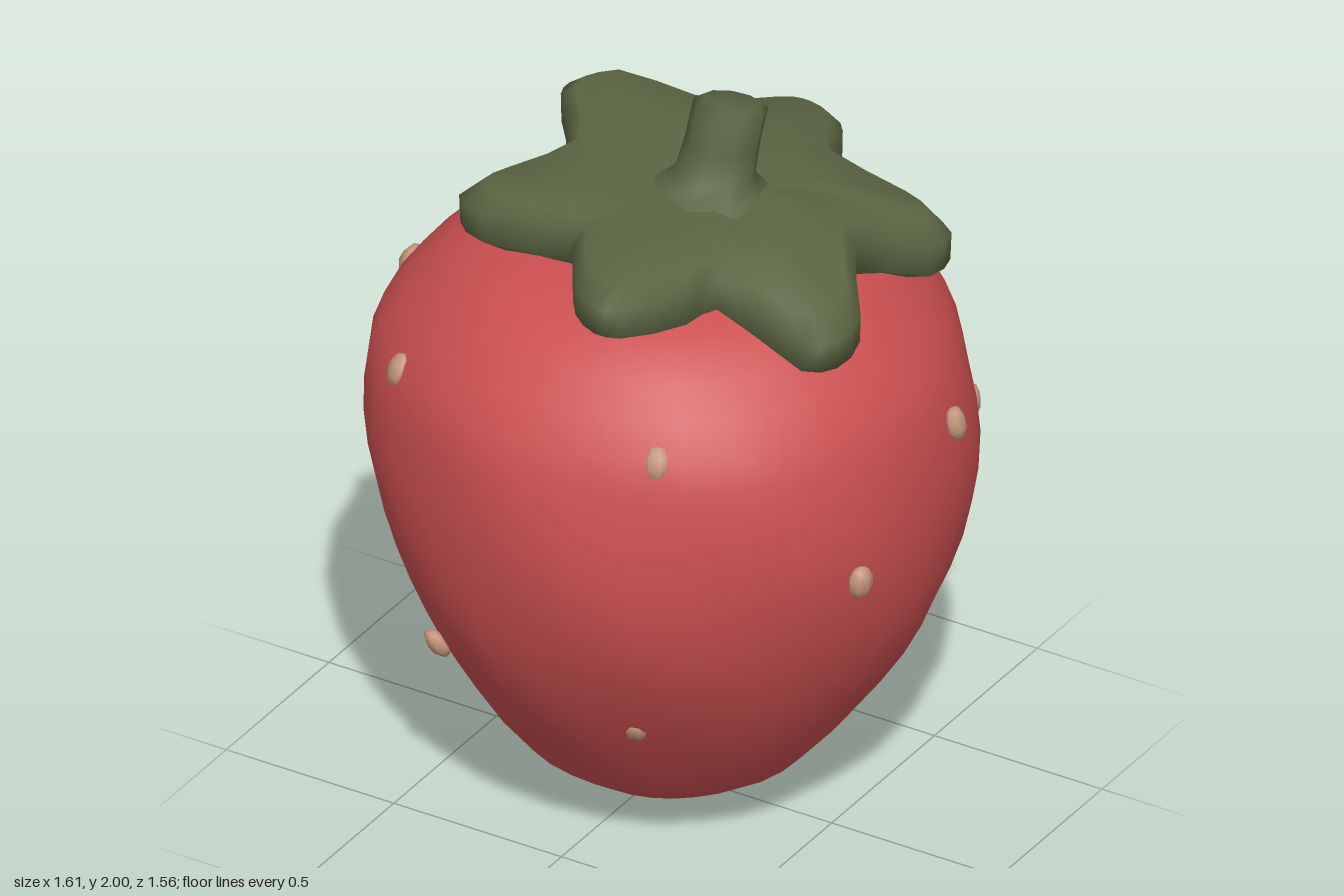
import * as THREE from 'three';
import { mergeVertices } from 'three/addons/utils/BufferGeometryUtils.js';

const material = (name, color) => {
  const m = new THREE.MeshStandardMaterial({ color });
  m.name = name;
  return m;
};

const named = (name, geometry, mat) => {
  const mesh = new THREE.Mesh(geometry, mat);
  mesh.name = name;
  return mesh;
};

// Geometry from closed rings of points, listed clockwise seen from above, top ring first
function loft(rings) {
  const n = rings[0].length, index = [];
  for (let r = 0; r < rings.length - 1; r++) {
    for (let j = 0; j < n; j++) {
      const k = (j + 1) % n, a = r * n, b = a + n;
      index.push(a + j, b + k, b + j, a + j, a + k, b + k);
    }
  }
  const geo = new THREE.BufferGeometry().setFromPoints(rings.flat());
  geo.setIndex(index);
  const merged = mergeVertices(geo, 1e-4);
  merged.computeVertexNormals();
  return merged;
}

// Fruit: turned profile, slightly lumpy
function fruitGeometry() {
  const profile = [[0, 0], [0.09, 0.005], [0.2, 0.05], [0.38, 0.16], [0.55, 0.39], [0.66, 0.58],
    [0.74, 0.78], [0.78, 1.0], [0.77, 1.2], [0.725, 1.36], [0.6, 1.51], [0.48, 1.59], [0.3, 1.64], [0, 1.66]];
  const curve = new THREE.SplineCurve(profile.map(p => new THREE.Vector2(...p)));
  const pts = curve.getPoints(26);
  pts[0].x = pts[26].x = 0;
  let geo = new THREE.LatheGeometry(pts, 32);
  geo.deleteAttribute('uv');
  geo.deleteAttribute('normal');
  geo = mergeVertices(geo, 1e-4);
  const pos = geo.attributes.position;
  for (let i = 0; i < pos.count; i++) {
    const x = pos.getX(i), y = pos.getY(i), z = pos.getZ(i), a = Math.atan2(z, x);
    const k = 1 + 0.009 * Math.sin(3 * a + 5 * y) + 0.006 * Math.sin(7 * a - 8 * y);
    const lean = 0.015 + 0.02 * Math.sin(Math.min(1, y / 1.3) * Math.PI);
    pos.setXYZ(i, x * k + lean, Math.max(0, y), z * k);
  }
  geo.computeVertexNormals();
  return geo;
}

// Leaf cap: six-pointed outline as x, z and height of the rim
function capGeometry() {
  const outline = [
    [0, -0.67, 1.6], [0.06, -0.675, 1.6], [0.13, -0.65, 1.6], [0.2, -0.54, 1.63], [0.27, -0.42, 1.65],
    [0.51, -0.45, 1.56], [0.61, -0.41, 1.55], [0.61, -0.31, 1.55], [0.52, -0.09, 1.65],
    [0.65, 0.1, 1.58], [0.66, 0.23, 1.57], [0.59, 0.29, 1.57], [0.33, 0.28, 1.67],
    [0.3, 0.39, 1.67], [0.2, 0.55, 1.68], [0.14, 0.575, 1.69], [0.05, 0.52, 1.69], [-0.03, 0.4, 1.69],
    [-0.09, 0.31, 1.69], [-0.34, 0.34, 1.69], [-0.45, 0.27, 1.68], [-0.42, 0.17, 1.68], [-0.32, -0.04, 1.7],
    [-0.47, -0.26, 1.7], [-0.48, -0.32, 1.7], [-0.41, -0.4, 1.71], [-0.17, -0.42, 1.69],
    [-0.08, -0.5, 1.66], [-0.06, -0.59, 1.62]];
  const curve = new THREE.CatmullRomCurve3(outline.map(([x, z, y]) => new THREE.Vector3(x, y, z)), true);
  const rim = curve.getPoints(58).slice(0, -1);
  const cx = 0.1, cz = -0.06;
  // Each layer: share of the outline, offset from the middle height
  const layers = [[0, 0.07], [0.5, 0.08], [0.9, 0.075], [0.995, 0.03], [0.99, -0.05], [0.88, -0.085], [0.3, -0.06]];
  return loft(layers.map(([s, dy]) => rim.map(p => new THREE.Vector3(
    cx + (p.x - cx) * s, THREE.MathUtils.lerp(1.69, p.y, s * s) + dy, cz + (p.z - cz) * s))));
}

// Stem: leaning, flared at the foot, blunt tilted top
function stemGeometry() {
  const sections = [[0.13, 1.978, -0.115, 0], [0.13, 1.978, -0.115, 0.075], [0.13, 1.965, -0.112, 0.096],
    [0.125, 1.87, -0.08, 0.098], [0.118, 1.79, -0.055, 0.105], [0.11, 1.755, -0.045, 0.15], [0.11, 1.72, -0.04, 0.2]];
  return loft(sections.map(([x, y, z, r], i) => Array.from({ length: 9 }, (_, j) => {
    const a = j / 9 * Math.PI * 2, tilt = i < 3 ? 0.3 : 0.1;
    return new THREE.Vector3(x + r * Math.cos(a), y + tilt * r * Math.sin(a), z + r * Math.sin(a));
  })));
}

export function createModel() {
  const red = material('berry red', 0xcb4f50);
  const green = material('leaf green', 0x5a6442);
  const tan = material('seed tan', 0xc4967a);
  const model = new THREE.Group();
  model.name = 'strawberry';

  model.add(named('fruit', fruitGeometry(), red));
  model.add(named('leafCap', capGeometry(), green));
  model.add(named('stem', stemGeometry(), green));

  // Seeds: small flattened pips set into the skin
  const pip = new THREE.SphereGeometry(1, 7, 5);
  pip.scale(0.037, 0.047, 0.026);
  const seeds = new THREE.Group();
  seeds.name = 'seeds';
  const spots = [[0.36, 1.35, 0.62], [-0.45, 1.34, 0.56], [-0.69, 1.36, 0.11], [0.25, 0.48, 0.54],
    [-0.37, 0.52, 0.5], [-0.58, 0.47, 0.05], [-0.77, 0.97, -0.1], [0.77, 0.96, 0.3], [0.785, 1.21, -0.14],
    [0.56, 0.98, -0.58], [0.34, 1.27, -0.69], [0.52, 0.49, -0.32], [-0.48, 1.36, -0.53], [-0.42, 0.5, -0.42]];
  for (const [x, y, z] of spots) {
    const seed = named('seed', pip, tan);
    seed.position.set(x, y, z);
    seed.lookAt(x * 2, y + (y - 1) * 0.9, z * 2);
    seeds.add(seed);
  }
  model.add(seeds);
  return model;
}
